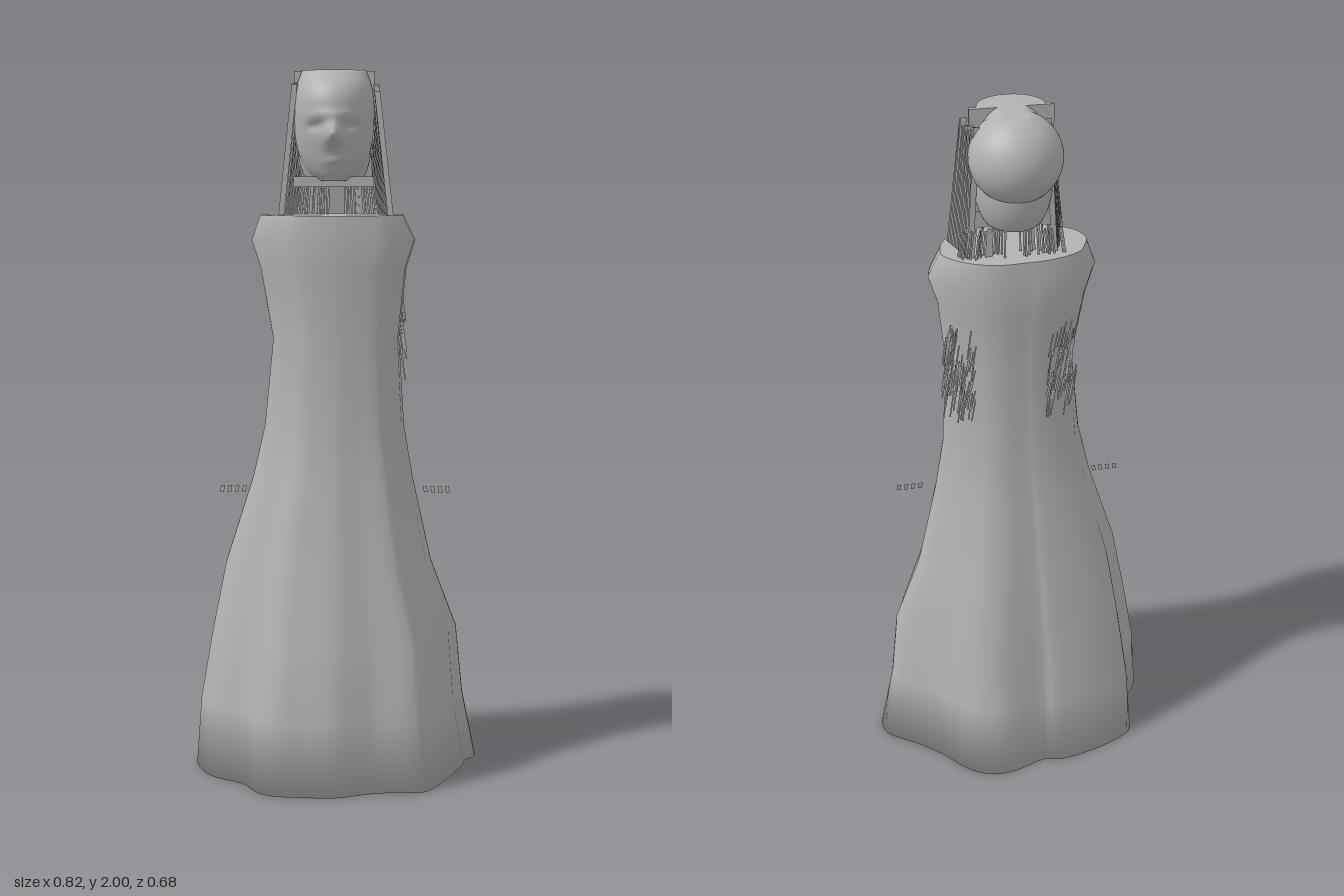
import * as THREE from 'three';

const grey = new THREE.MeshStandardMaterial({ color: 0xb2b2b2, side: THREE.DoubleSide });
grey.name = 'grey';

function part(name, geometry, x = 0, y = 0, z = 0) {
  const mesh = new THREE.Mesh(geometry, grey);
  mesh.name = name;
  mesh.position.set(x, y, z);
  return mesh;
}

let seed = 7;
const rand = () => (seed = (seed * 16807) % 2147483647) / 2147483647;

// Skin over rings of points, bottom to top; the caps share the ring's vertices
function loft(rings, capBottom, capTop) {
  const n = rings[0].length, pos = [], idx = [];
  rings.forEach(r => r.forEach(p => pos.push(...p)));
  for (let i = 0; i < rings.length - 1; i++) {
    for (let j = 0; j < n; j++) {
      const k = (j + 1) % n, a = i * n + j, b = i * n + k;
      idx.push(a, b, b + n, a, b + n, a + n);
    }
  }
  const cap = (ring, start, up) => {
    const c = pos.length / 3;
    pos.push(0, ring[0][1], 0);
    for (let j = 0; j < n; j++) {
      const a = start + j, b = start + (j + 1) % n;
      idx.push(c, up ? a : b, up ? b : a);
    }
  };
  if (capBottom) cap(rings[0], 0, false);
  if (capTop) cap(rings.at(-1), (rings.length - 1) * n, true);
  const g = new THREE.BufferGeometry();
  g.setAttribute('position', new THREE.Float32BufferAttribute(pos, 3));
  g.setIndex(idx);
  g.computeVertexNormals();
  return g;
}

// Flat strips facing z, each [xTop, yTop, xBottom, yBottom, z, width]
function ribbons(list) {
  const pos = [], idx = [];
  list.forEach(([x1, y1, x0, y0, z, w], i) => {
    pos.push(x0 - w / 2, y0, z, x0 + w / 2, y0, z, x1 + w / 2, y1, z, x1 - w / 2, y1, z);
    idx.push(...[0, 1, 2, 0, 2, 3].map(k => k + 4 * i));
  });
  const g = new THREE.BufferGeometry();
  g.setAttribute('position', new THREE.Float32BufferAttribute(pos, 3));
  g.setIndex(idx);
  g.computeVertexNormals();
  return g;
}

// Wavy hem outline [x, z], from the front towards +x
const hem = [
  [0, .335], [.07, .31], [.13, .29], [.25, .28], [.29, .23], [.33, .14], [.37, .05], [.38, 0], [.41, -.04],
  [.40, -.10], [.32, -.16], [.25, -.22], [.17, -.31], [.10, -.34], [.04, -.335], [-.06, -.30], [-.10, -.31],
  [-.20, -.29], [-.30, -.25], [-.34, -.22], [-.35, -.17], [-.35, -.10], [-.41, 0], [-.38, .12], [-.34, .17],
  [-.26, .22], [-.21, .30], [-.16, .325], [-.10, .33]];

// Gown levels: y, left reach, right reach, front reach, back reach
const levels = [
  [0, .41, .41, .335, .34], [.2, .37, .395, .315, .295], [.4, .35, .36, .27, .26], [.6, .275, .32, .22, .215],
  [.85, .22, .24, .17, .17], [1, .195, .205, .145, .14], [1.25, .18, .18, .125, .125],
  [1.45, .20, .215, .13, .13], [1.53, .225, .24, .13, .13], [1.6, .19, .215, .122, .12]];

function gown() {
  const curve = new THREE.CatmullRomCurve3(hem.map(([x, z]) => new THREE.Vector3(x / .41, 0, z / .337)), true);
  const outline = curve.getPoints(87).slice(0, -1);
  const rings = levels.map(([y, l, r, f, b]) => {
    const t = Math.min(1, y / 1.3) * .75;
    return outline.map(p => {
      const a = Math.atan2(p.x, p.z), s = Math.sin(a), c = Math.cos(a);
      const round = Math.pow(Math.abs(s) ** 2.3 + Math.abs(c) ** 2.3, -1 / 2.3);
      const x = THREE.MathUtils.lerp(p.x, s * round, t), z = THREE.MathUtils.lerp(p.z, c * round, t);
      return [x * (x > 0 ? l : r), y, z * (z > 0 ? f : b)];
    });
  });
  const g = new THREE.Group();
  g.name = 'gown';
  g.add(part('skirtAndBodice', loft(rings, true, false)));
  g.add(part('neckline', loft([rings.at(-1), rings.at(-1).map(([x, y, z]) => [x * .9, y, z * .9])], false, true)));
  return g;
}

function head() {
  const g = new THREE.Group();
  g.name = 'head';
  const cx = -.006;

  // Face: half-oval slices with brow, eye hollows, nose and lips
  const profile = new THREE.CatmullRomCurve3([
    [.045, 1.695, .095], [.075, 1.72, .11], [.098, 1.765, .125], [.11, 1.82, .138], [.113, 1.87, .147],
    [.112, 1.92, .145], [.105, 1.96, .122], [.09, 2, .075]].map(p => new THREE.Vector3(...p)));
  const bump = (v, c, w) => Math.exp(-(((v - c) / w) ** 2));
  const rings = profile.getPoints(44).map(({ x: w, y, z: d }) => Array.from({ length: 56 }, (_, j) => {
    const a = j / 56 * Math.PI * 2, x = w * Math.sin(a), c = Math.cos(a);
    if (c <= 0) return [x + cx, y, 0];
    const nose = y < 1.82 ? bump(y, 1.82, .025) : bump(y, 1.82, .03);
    const relief = .06 * nose * bump(x, 0, .02) + .008 * bump(y, 1.875, .014) * bump(x, 0, .08)
      - .014 * bump(y, 1.845, .014) * bump(Math.abs(x), .05, .024)
      + .006 * bump(y, 1.75, .01) * bump(x, 0, .03);
    return [x + cx, y, d * c + relief * c];
  }));
  g.add(part('face', loft(rings, true, true)));

  // Ball at the back with a flat crown, and the nape below it
  const trimmed = (r, lo, hi) => {
    const s = new THREE.SphereGeometry(1, 48, 32).scale(...r), p = s.attributes.position;
    for (let i = 0; i < p.count; i++) p.setY(i, THREE.MathUtils.clamp(p.getY(i), lo, hi));
    s.computeVertexNormals();
    return s;
  };
  g.add(part('backOfHead', trimmed([.125, .122, .122], -1, .115), cx, 1.885, -.07));
  g.add(part('crown', trimmed([.1, .13, .12], -.1, .12), cx, 1.88, -.02));
  g.add(part('nape', trimmed([.105, .16, .115], -.11, .1), cx, 1.8, -.03));

  // Thin plates behind the forehead and under the chin
  g.add(part('foreheadPlate', new THREE.BoxGeometry(.225, .1, .012), cx, 1.95, -.006));
  g.add(part('chinPlate', new THREE.BoxGeometry(.225, .03, .008), cx, 1.693, .058));
  return g;
}

export function createModel() {
  const model = new THREE.Group();
  model.name = 'gownedFigure';
  model.add(gown(), head());

  for (const side of [1, -1]) {
    const label = side > 0 ? 'left' : 'right';

    // Long hair falling from the temple to the shoulder
    const locks = [];
    for (let i = 0; i < 16; i++) {
      const u = i / 15;
      locks.push([side * (.095 + .02 * u), 1.97 - .04 * rand(), side * (.115 + .04 * u), 1.585, -.06 + .11 * u, .016]);
    }
    model.add(part(label + 'HairCurtain', ribbons(locks)));

    // Short strands under the head
    const strands = [];
    for (let i = 0; i < 26; i++) {
      const x = side * (.025 + .125 * i / 25);
      strands.push([x * .9, 1.69 - .02 * rand(), x, 1.57, -.08 + .05 * rand(), .005]);
    }
    model.add(part(label + 'NeckStrands', ribbons(strands)));

    // Fringe on the back of the shoulder
    const fringe = [];
    for (let i = 0; i < 60; i++) {
      const u = rand(), y = 1.2 + .22 * rand();
      const x = side > 0 ? .11 + .08 * u : -.09 - .085 * u;
      const z = (side > 0 ? -.13 + .06 * u : -.135 + .045 * u) - .01 * rand();
      fringe.push([x, y, x + .012, y - .06 - .04 * rand(), z, .004]);
    }
    model.add(part(label + 'Fringe', ribbons(fringe)));

    // Row of small tips beside the skirt
    const tips = [];
    for (let i = 0; i < 4; i++) {
      const x = side * (.255 + .021 * i) - (side < 0 ? .007 : 0);
      tips.push([x, .828, x + side * .003, .81, .037, .011]);
    }
    model.add(part(label + 'FingerTips', ribbons(tips)));
  }
  return model;
}
